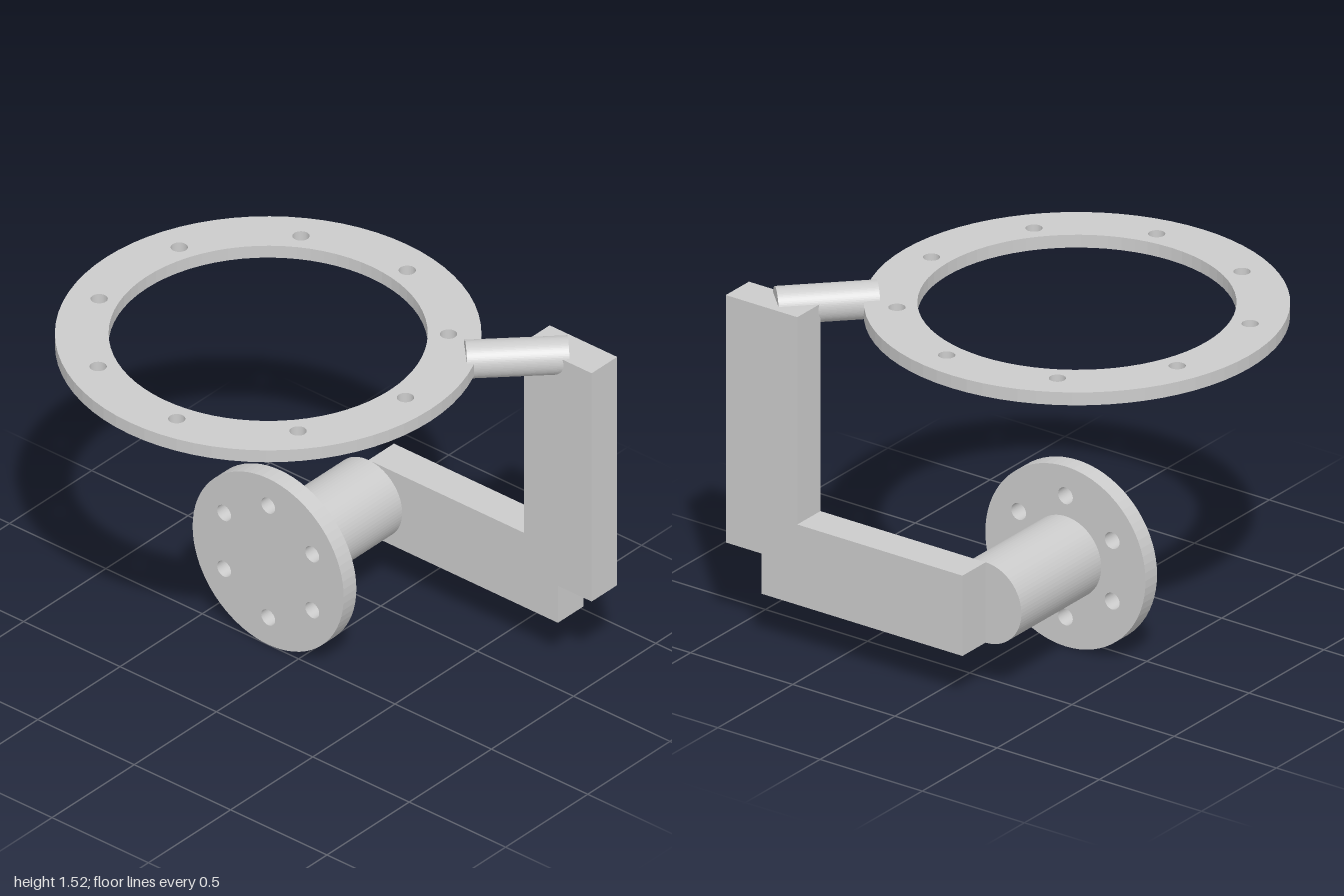
import * as THREE from 'three';

const material = new THREE.MeshStandardMaterial({ color: 0xcccccc, flatShading: true });
const SHAFT_Y = 0.394, AXIS_Z = -0.158, ARM_IN = 0.61, ARM_OUT = 0.765;

function part(name, geometry) {
  const mesh = new THREE.Mesh(geometry, material);
  mesh.name = name;
  return mesh;
}

function extrude(shape, depth) {
  return new THREE.ExtrudeGeometry(shape, { depth, bevelEnabled: false, curveSegments: 36 });
}

function circle(target, x, y, r, clockwise = false) {
  target.absarc(x, y, r, 0, Math.PI * 2, clockwise);
  return target;
}

// Disc with a circle of bolt holes and an optional centre opening
function drilledDisc({ radius, bore, count, pitch, hole, start, depth }) {
  const shape = circle(new THREE.Shape(), 0, 0, radius);
  if (bore) shape.holes.push(circle(new THREE.Path(), 0, 0, bore, true));
  for (let i = 0; i < count; i++) {
    const a = start + (i / count) * Math.PI * 2;
    shape.holes.push(circle(new THREE.Path(), Math.cos(a) * pitch, Math.sin(a) * pitch, hole, true));
  }
  return extrude(shape, depth);
}

export function createModel() {
  const group = new THREE.Group();
  group.name = 'ringBracket';

  // Vertical mounting flange, facing sideways
  const flange = drilledDisc({
    radius: 0.392, count: 6, pitch: 0.264, hole: 0.036, start: Math.PI / 2, depth: 0.077,
  });
  flange.rotateY(Math.PI / 2).translate(0, SHAFT_Y, AXIS_Z);
  group.add(part('mountingFlange', flange));

  // Thick shaft from the flange to the arm
  const shaftLength = ARM_IN - 0.077;
  const shaft = new THREE.CylinderGeometry(0.175, 0.175, shaftLength, 72);
  shaft.rotateZ(-Math.PI / 2).translate(0.077 + shaftLength / 2, SHAFT_Y, AXIS_Z);
  group.add(part('shaft', shaft));

  // L-shaped arm with a stepped lower corner, drawn as (z, y)
  const outline = [
    [AXIS_Z, 0.219], [0.825, 0.219], [0.825, SHAFT_Y], [1, SHAFT_Y],
    [1, 1.472], [0.65, 1.472], [0.65, 0.569], [AXIS_Z, 0.569],
  ];
  const arm = extrude(new THREE.Shape(outline.map(([z, y]) => new THREE.Vector2(z, y))), ARM_OUT - ARM_IN);
  arm.rotateY(-Math.PI / 2).translate(ARM_OUT, 0, 0);
  group.add(part('arm', arm));

  // Diagonal pin joining the arm to the ring
  const pin = new THREE.CylinderGeometry(0.077, 0.077, 0.406, 72);
  pin.rotateX(Math.PI / 2).rotateY(Math.PI / 4).translate(0.538, 1.446, 0.673);
  group.add(part('connectingPin', pin));

  // Horizontal ring with nine holes
  const ring = drilledDisc({
    radius: 0.842, bore: 0.63, count: 9, pitch: 0.712, hole: 0.034, start: -Math.PI / 2, depth: 0.056,
  });
  ring.rotateX(-Math.PI / 2).translate(0, 1.416, AXIS_Z);
  group.add(part('ring', ring));

  return group;
}
